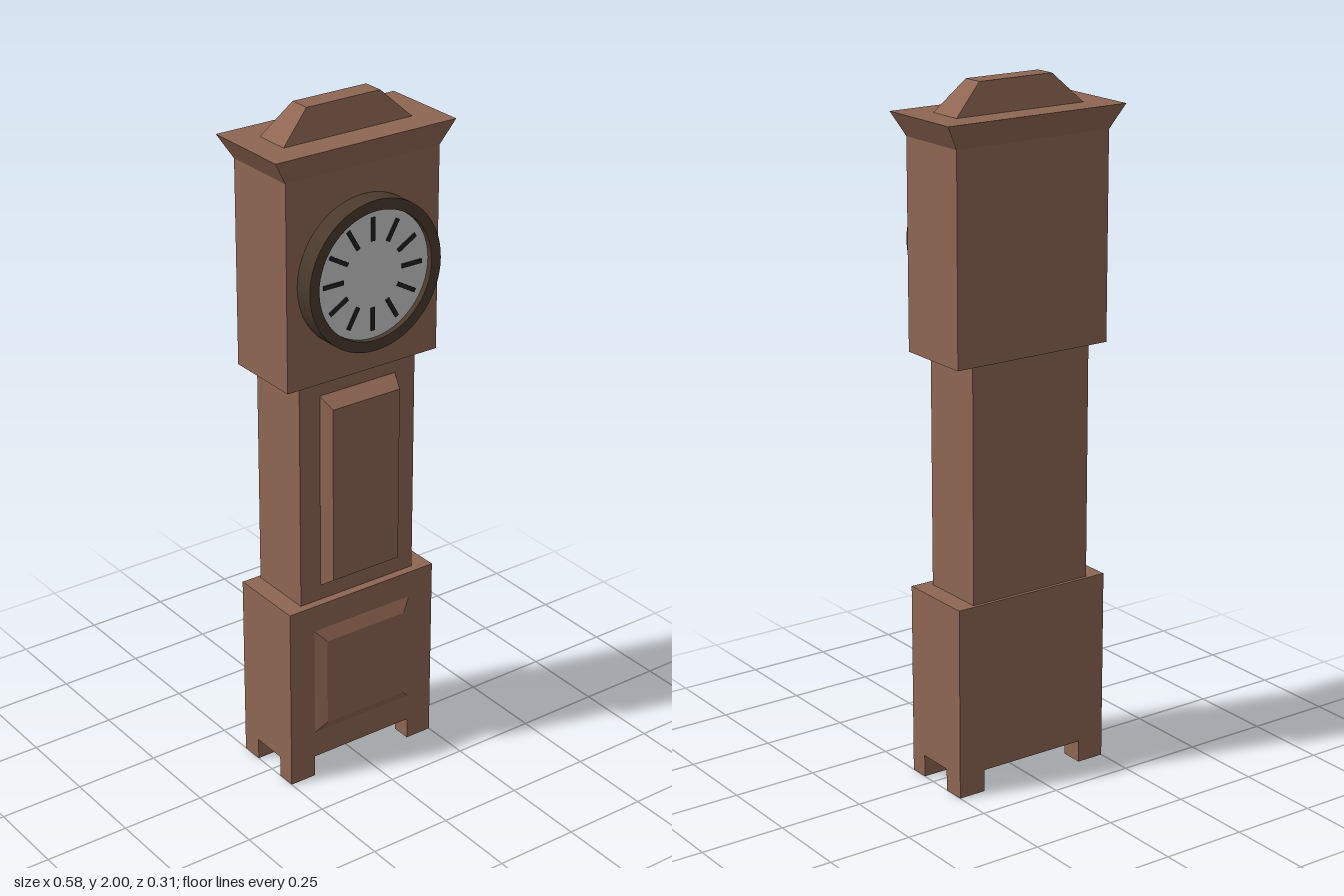
import * as THREE from 'three';

const material = (color) => new THREE.MeshStandardMaterial({ color, flatShading: true });

export function createModel() {
  const clock = new THREE.Group();
  clock.name = 'longcaseClock';
  const wood = material(0x8f6653);
  const darkWood = material(0x4a3a2d);
  const dialGrey = material(0xcccccc);
  const black = material(0x222222);

  function add(name, geometry, mat, parent = clock) {
    const mesh = new THREE.Mesh(geometry, mat);
    mesh.name = name;
    parent.add(mesh);
    return mesh;
  }

  // Box given by its limits on each axis
  function block(name, [x0, x1], [y0, y1], [z0, z1], parent) {
    const g = new THREE.BoxGeometry(x1 - x0, y1 - y0, z1 - z0);
    g.translate((x0 + x1) / 2, (y0 + y1) / 2, (z0 + z1) / 2);
    return add(name, g, wood, parent);
  }

  // Tapered box: the end at the high side of one axis takes its own limits
  function taper(name, low, high, axis) {
    const g = new THREE.BoxGeometry(2, 2, 2);
    const p = g.attributes.position;
    for (let i = 0; i < p.count; i++) {
      const v = [p.getX(i), p.getY(i), p.getZ(i)];
      const end = v[axis] > 0 ? high : low;
      p.setXYZ(i, ...v.map((s, k) => end[k][s > 0 ? 1 : 0]));
    }
    g.computeVertexNormals();
    return add(name, g, wood);
  }

  // Case
  block('base', [-0.25, 0.25], [0.065, 0.565], [-0.135, 0.1]);
  block('trunk', [-0.195, 0.195], [0.565, 1.25], [-0.125, 0.075]);
  block('hood', [-0.25, 0.25], [1.25, 1.846], [-0.135, 0.1]);

  // Feet
  const feet = new THREE.Group();
  feet.name = 'feet';
  clock.add(feet);
  for (const [side, x] of [['right', [-0.25, -0.167]], ['left', [0.167, 0.25]]]) {
    block(side + 'FrontFoot', x, [0, 0.065], [0.043, 0.1], feet);
    block(side + 'BackFoot', x, [0, 0.065], [-0.135, -0.068], feet);
  }

  // Flared cornice and tapered crown
  taper('cornice',
    [[-0.25, 0.25], [1.846, 1.846], [-0.135, 0.1]],
    [[-0.291, 0.291], [1.915, 1.915], [-0.157, 0.117]], 1);
  taper('crown',
    [[-0.208, 0.208], [1.915, 1.915], [-0.075, 0.033]],
    [[-0.119, 0.119], [2, 2], [-0.052, 0.01]], 1);

  // Raised bevelled panels
  taper('trunkPanel',
    [[-0.127, 0.127], [0.61, 1.2], [0.075, 0.075]],
    [[-0.113, 0.113], [0.64, 1.17], [0.117, 0.117]], 2);
  taper('basePanel',
    [[-0.167, 0.167], [0.147, 0.485], [0.1, 0.1]],
    [[-0.135, 0.135], [0.18, 0.45], [0.119, 0.119]], 2);

  // Clock face: ring, recessed dial and hour marks
  const face = new THREE.Group();
  face.name = 'clockFace';
  face.position.set(0, 1.548, 0.1);
  clock.add(face);

  const ring = new THREE.Shape().absarc(0, 0, 0.216, 0, Math.PI * 2);
  ring.holes.push(new THREE.Path().absarc(0, 0, 0.185, 0, Math.PI * 2, true));
  add('bezel', new THREE.ExtrudeGeometry(ring,
    { depth: 0.057, bevelEnabled: false, curveSegments: 32 }), darkWood, face);

  const dial = new THREE.CylinderGeometry(0.186, 0.186, 0.04, 32);
  dial.rotateX(Math.PI / 2);
  add('dial', dial, dialGrey, face).position.z = 0.02;

  for (let i = 0; i < 12; i++) {
    const mark = new THREE.BoxGeometry(0.012, 0.066, 0.006);
    mark.translate(0, 0.129, 0.041);
    add('hourMark' + (i + 1), mark, black, face).rotation.z = -(i + 1) * Math.PI / 6;
  }

  return clock;
}
